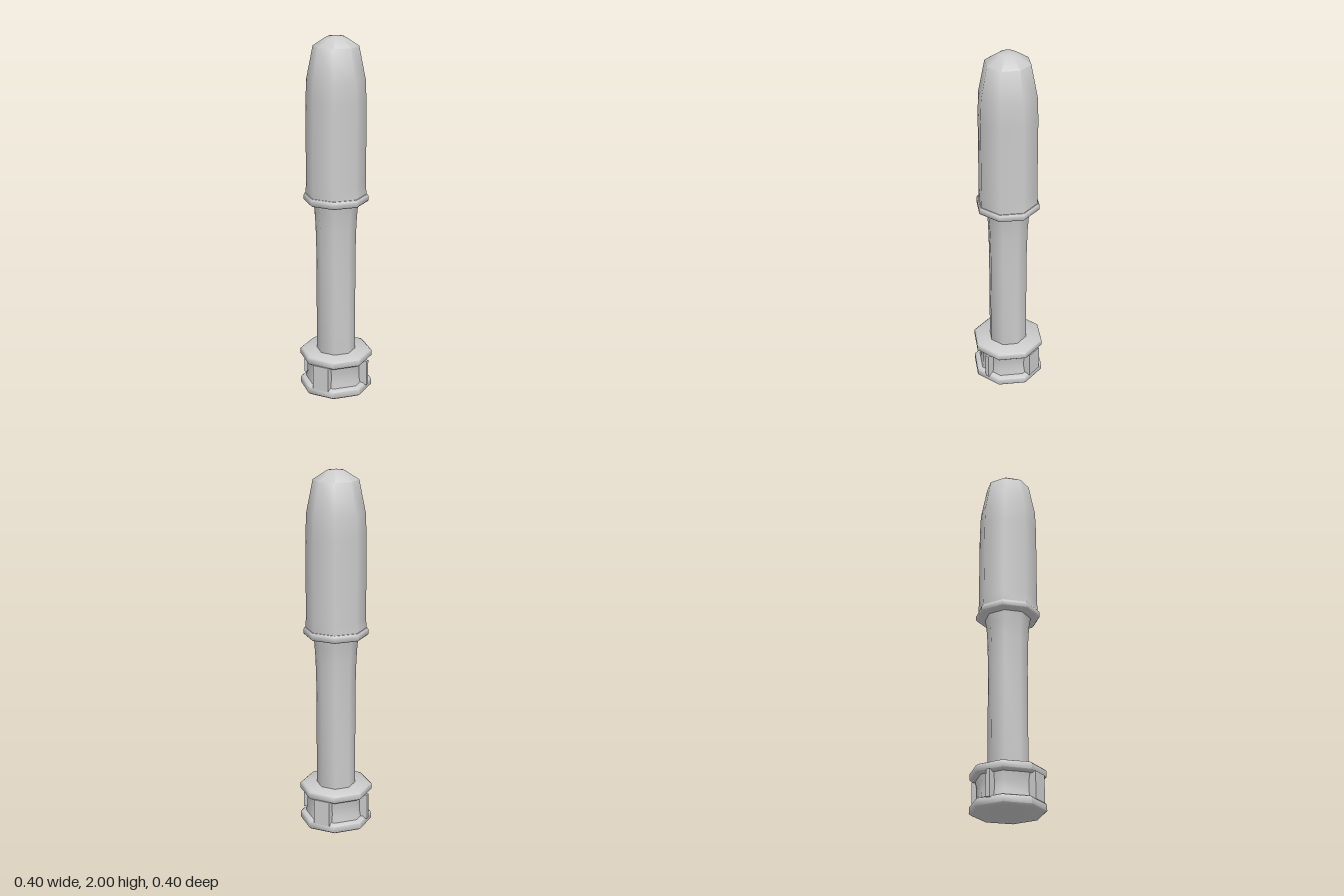
import * as THREE from 'three';
import { toCreasedNormals } from 'three/addons/utils/BufferGeometryUtils.js';

const material = new THREE.MeshStandardMaterial({ color: 0xcccccc });

// Eight-sided turned part, smooth around, sharp at profile corners.
function turned(name, profile) {
  const points = profile.map(([r, y]) => new THREE.Vector2(r, y));
  const geometry = toCreasedNormals(new THREE.LatheGeometry(points, 8), 0.85);
  const mesh = new THREE.Mesh(geometry, material);
  mesh.name = name;
  return mesh;
}

// Disc with softly bevelled rims.
function disc(name, y0, y1, r) {
  return turned(name, [
    [0, y0], [r - 0.012, y0], [r, y0 + 0.01], [r, y1 - 0.01], [r - 0.012, y1], [0, y1],
  ]);
}

// Block standing between the discs, facing outward at the given angle.
function block(name, angle, width, outer) {
  const inner = 0.11;
  const mesh = new THREE.Mesh(new THREE.BoxGeometry(width, 0.145, outer - inner), material);
  mesh.geometry.translate(0, 0.115, (inner + outer) / 2);
  mesh.rotation.y = angle;
  mesh.name = name;
  return mesh;
}

export function createModel() {
  const model = new THREE.Group();
  model.name = 'handle';

  // Foot: two discs around a waisted core
  model.add(disc('bottomDisc', 0, 0.052, 0.202));
  model.add(disc('topDisc', 0.18, 0.23, 0.202));
  model.add(turned('core', [[0.172, 0.045], [0.163, 0.09], [0.163, 0.14], [0.172, 0.185]]));

  // Alternating wide pads and narrow ribs on the facet centres
  for (let i = 0; i < 4; i++) {
    const angle = Math.PI / 8 + (i * Math.PI) / 2;
    model.add(i % 2 === 0
      ? block('pad', angle, 0.093, 0.191)
      : block('rib', angle, 0.022, 0.198));
  }

  // Shaft, flaring slightly under the collar
  model.add(turned('shaft', [
    [0.108, 0.22], [0.108, 0.8], [0.112, 0.96], [0.118, 1.05], [0.128, 1.11],
  ]));

  // Collar
  model.add(turned('collar', [
    [0, 1.1], [0.17, 1.1], [0.177, 1.107], [0.177, 1.13], [0.17, 1.142], [0, 1.142],
  ]));

  // Grip with a tapered, domed tip
  model.add(turned('grip', [
    [0.166, 1.13], [0.163, 1.2], [0.162, 1.65], [0.157, 1.77],
    [0.122, 1.945], [0.048, 1.993], [0, 2],
  ]));

  return model;
}
